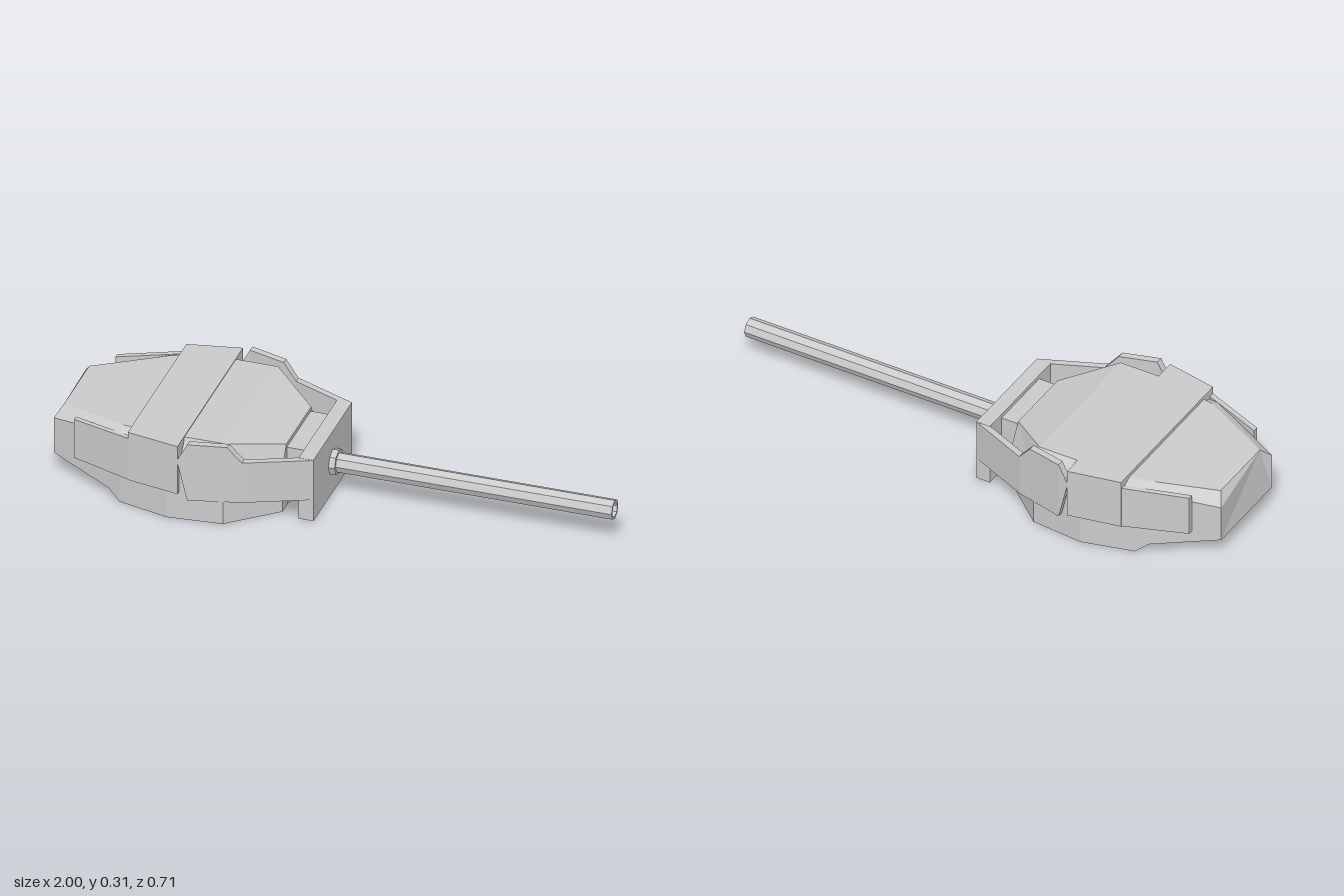
import * as THREE from 'three';

const material = new THREE.MeshStandardMaterial({ color: 0xcccccc, flatShading: true });
const hollowMaterial = new THREE.MeshStandardMaterial({ color: 0xcccccc, flatShading: true, side: THREE.DoubleSide });

// Skins a row of cross-sections (loops of [x, y, z], stacked along +x) and caps both ends
function loft(rings) {
  const n = rings[0].length, last = (rings.length - 1) * n, index = [];
  for (let i = 0; i < rings.length - 1; i++) {
    for (let j = 0; j < n; j++) {
      const a = i * n + j, b = i * n + (j + 1) % n;
      index.push(a, b, b + n, a, b + n, a + n);
    }
  }
  for (let j = 1; j < n - 1; j++) {
    index.push(0, j + 1, j);
    index.push(last, last + j, last + j + 1);
  }
  const geometry = new THREE.BufferGeometry();
  geometry.setAttribute('position', new THREE.Float32BufferAttribute(rings.flat(2), 3));
  geometry.setIndex(index);
  const flat = geometry.toNonIndexed();
  flat.computeVertexNormals();
  return flat;
}

// Completes half a cross-section (top to bottom, +z side) with its mirror image
const mirrored = half => [...half, ...[...half].reverse().map(([x, y, z]) => [x, y, -z])];

// Thin upright plate; stations are [x, outer z, top, bottom], side is +1 or -1
function plate(stations, thickness, side) {
  return loft(stations.map(([x, z, top, bottom]) => {
    const ring = [[x, top, z], [x, bottom, z], [x, bottom, z - thickness], [x, top, z - thickness]]
      .map(([px, py, pz]) => [px, py, pz * side]);
    return side > 0 ? ring : ring.reverse();
  }));
}

export function createModel() {
  const model = new THREE.Group();
  const add = (name, geometry, mat = material) => {
    const mesh = new THREE.Mesh(geometry, mat);
    mesh.name = name;
    model.add(mesh);
    return mesh;
  };

  // Faceted turret body: each row gives roof edge, shoulder and floor edge
  add('turretBody', loft([
    [[-0.975, 0.26, 0.135], [-1, 0.22, 0.175], [-1, 0.08, 0.175]],
    [[-0.765, 0.281, 0.23], [-0.765, 0.26, 0.272], [-0.765, 0.035, 0.272]],
    [[-0.72, 0.286, 0.25], [-0.72, 0.268, 0.292], [-0.72, 0, 0.292]],
    [[-0.53, 0.299, 0.28], [-0.53, 0.23, 0.34], [-0.53, 0, 0.34]],
    [[-0.33, 0.299, 0.28], [-0.33, 0.2, 0.322], [-0.33, 0, 0.322]],
    [[-0.16, 0.25, 0.135], [-0.16, 0.18, 0.175], [-0.16, 0, 0.175]],
  ].map(mirrored)));

  // Raised band across the widest part
  add('middleBand', loft([
    [[-0.68, 0.302, 0.318], [-0.68, 0.11, 0.318]],
    [[-0.485, 0.302, 0.356], [-0.485, 0.11, 0.356]],
  ].map(mirrored)));

  // Side armour
  for (const [word, side] of [['left', 1], ['right', -1]]) {
    add(word + 'RearSkirt', plate([
      [-0.905, 0.235, 0.265, 0.11],
      [-0.67, 0.319, 0.276, 0.11],
    ], 0.02, side));
    add(word + 'CheekPlate', plate([
      [-0.485, 0.356, 0.25, 0.235],
      [-0.45, 0.354, 0.315, 0.09],
      [-0.315, 0.32, 0.31, 0.09],
      [-0.265, 0.308, 0.25, 0.09],
      [-0.037, 0.21, 0.249, 0.09],
    ], 0.026, side));
  }

  // Neck with a rounded underside, joining the body to the gun shield
  const neckProfile = new THREE.Shape([
    [-0.2, 0.02], [-0.16, 0.012], [-0.11, 0.035], [-0.09, 0.07], [-0.07, 0.09], [-0.07, 0.235], [-0.2, 0.235],
  ].map(p => new THREE.Vector2(...p)));
  add('neck', new THREE.ExtrudeGeometry(neckProfile, { depth: 0.26, bevelEnabled: false }).translate(0, 0, -0.13));

  // Gun shield
  add('gunShield', new THREE.BoxGeometry(0.055, 0.245, 0.42).translate(-0.0625, 0.1275, 0));

  // Eight-sided collar and hollow barrel
  const collar = add('barrelCollar', new THREE.CylinderGeometry(0.048, 0.048, 0.025, 8));
  collar.rotation.z = -Math.PI / 2;
  collar.position.set(-0.025, 0.13, 0);
  const barrelProfile = [[0.037, -0.04], [0.037, 1], [0.028, 1], [0.028, 0], [0, 0]];
  const barrel = add('barrel', new THREE.LatheGeometry(barrelProfile.map(p => new THREE.Vector2(...p)), 8), hollowMaterial);
  barrel.rotation.z = -Math.PI / 2;
  barrel.position.y = 0.13;

  return model;
}
